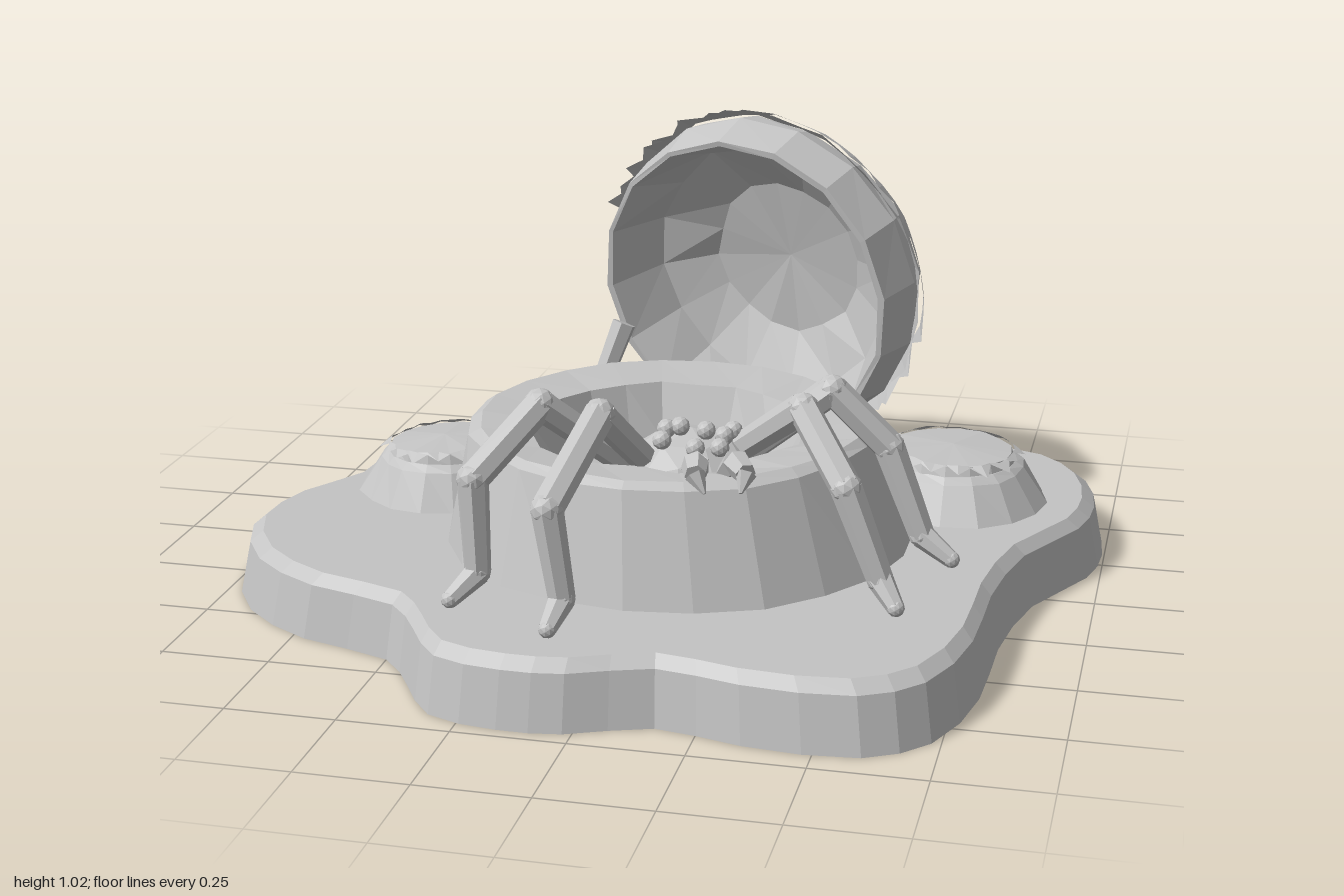
import * as THREE from 'three';

const V = (x, y, z) => new THREE.Vector3(x, y, z);

let seed = 7;
function rand() {
  seed = (seed * 16807) % 2147483647;
  return seed / 2147483647;
}
const jitter = (a) => (rand() * 2 - 1) * a;

// Skin a list of closed rings (arrays of points, equal length) with quads
function loft(rings) {
  const n = rings[0].length;
  const pos = rings.flatMap((r) => r.flatMap((p) => [p.x, p.y, p.z]));
  const index = [];
  for (let j = 0; j < rings.length - 1; j++) {
    for (let i = 0; i < n; i++) {
      const k = (i + 1) % n;
      const a = j * n + i, b = j * n + k, c = (j + 1) * n + k, d = (j + 1) * n + i;
      index.push(a, b, d, b, c, d);
    }
  }
  const g = new THREE.BufferGeometry();
  g.setAttribute('position', new THREE.Float32BufferAttribute(pos, 3));
  g.setIndex(index);
  g.computeVertexNormals();
  return g;
}

// Horizontal ring, with optional centre and roughness
function ring(n, r, y, cx = 0, cz = 0, rough = 0) {
  return Array.from({ length: n }, (_, i) => {
    const a = (i / n) * Math.PI * 2, q = r + (r ? jitter(rough) : 0);
    return V(cx + q * Math.sin(a), y + (r ? jitter(rough * 0.5) : 0), cz + q * Math.cos(a));
  });
}

// Jagged band of leaf tips round an edge
function leafBand(n, r, y, outward, drop) {
  const top = ring(n, r, y, 0, 0, 0.006);
  const tips = top.map((p, i) => {
    const long = i % 2 ? 0.55 + rand() * 0.45 : 0.1 + rand() * 0.25;
    const s = 1 + (outward * long) / r;
    return V(p.x * s, y - drop * long, p.z * s);
  });
  return loft([tips, top]);
}

export function createModel() {
  seed = 7;
  const model = new THREE.Group();
  const clay = new THREE.MeshStandardMaterial({ color: 0xc4c4c4, flatShading: true, side: THREE.DoubleSide });
  clay.name = 'grey clay';

  function add(parent, name, geometry) {
    const m = new THREE.Mesh(geometry, clay);
    m.name = name;
    parent.add(m);
    return m;
  }
  function group(name, parent = model) {
    const g = new THREE.Group();
    g.name = name;
    parent.add(g);
    return g;
  }
  // Tapered rod between two points
  function rod(parent, name, a, b, ra, rb, sides = 7) {
    const m = add(parent, name, new THREE.CylinderGeometry(rb, ra, a.distanceTo(b), sides));
    m.position.copy(a).lerp(b, 0.5);
    m.quaternion.setFromUnitVectors(V(0, 1, 0), b.clone().sub(a).normalize());
    return m;
  }
  function ball(parent, name, p, r, detail = 1) {
    const m = add(parent, name, new THREE.IcosahedronGeometry(r, detail));
    m.position.copy(p);
    return m;
  }

  // Lobed ground slab
  const outline = [
    [-0.02, -0.98], [0.19, -0.91], [0.43, -0.73], [0.68, -0.69], [0.86, -0.64], [0.96, -0.51], [0.995, -0.32],
    [0.97, -0.16], [0.86, 0.05], [0.81, 0.32], [0.8, 0.59], [0.73, 0.83], [0.6, 0.93], [0.35, 0.93],
    [0.16, 0.89], [-0.02, 0.96], [-0.16, 0.97], [-0.32, 0.93], [-0.41, 0.8], [-0.5, 0.68], [-0.72, 0.61],
    [-0.9, 0.48], [-1, 0.27], [-0.97, 0.08], [-0.87, -0.09], [-0.85, -0.32], [-0.72, -0.51], [-0.54, -0.75],
    [-0.42, -0.82], [-0.26, -0.86], [-0.14, -0.96],
  ].reverse().map(([x, z]) => V(x, 0, z));
  const edge = new THREE.CatmullRomCurve3(outline, true).getPoints(62).slice(0, -1);
  const slab = [[0, 0], [1, 0], [0.975, 0.125], [0.945, 0.15], [0, 0.15]];
  add(model, 'groundSlab', loft(slab.map(([s, y]) => edge.map((p) => V(p.x * s, y, p.z * s)))));

  // Burrow mound with a sunken hole
  add(model, 'burrowMound', loft([
    ring(22, 0.55, 0.14, 0.03, 0.1, 0.008),
    ring(22, 0.475, 0.4, 0.01, 0.09, 0.005),
    ring(22, 0.45, 0.415, 0.01, 0.09, 0.004),
    ring(22, 0.32, 0.405, 0.01, 0.12, 0.012),
    ring(22, 0.275, 0.27, 0.01, 0.12, 0.008),
    ring(22, 0.15, 0.23, 0.01, 0.12, 0.006),
    ring(22, 0, 0.22, 0.01, 0.12),
  ]));

  // Trapdoor: hollow dome standing open behind the burrow
  const lid = group('trapdoorLid');
  lid.position.set(0.09, 0.58, -0.6);
  lid.quaternion.setFromUnitVectors(V(0, 1, 0), V(0.29, 0.14, -0.94).normalize());
  const lidProfile = [
    [0, 0.15, 0], [0.2, 0.13, 0.01], [0.33, 0.05, 0.01], [0.385, -0.12, 0.003], [0.4, -0.12, 0.003],
    [0.425, 0, 0.005], [0.4, 0.08, 0.012], [0.32, 0.16, 0.015], [0.19, 0.215, 0.015], [0, 0.24, 0],
  ];
  add(lid, 'lidShell', loft(lidProfile.map(([r, y, k]) => ring(16, r, y, 0, 0, k))));
  add(lid, 'lidLeafFringe', leafBand(54, 0.415, 0.06, 0.05, 0.1));
  add(lid, 'lidLeafFringe', leafBand(40, 0.42, 0.02, 0.04, 0.05));

  // Prop behind the burrow holding the lid
  const prop = group('lidProp');
  rod(prop, 'propFoot', V(-0.37, 0.15, -0.47), V(-0.34, 0.23, -0.5), 0.04, 0.024, 6);
  rod(prop, 'propStick', V(-0.34, 0.23, -0.5), V(-0.27, 0.44, -0.56), 0.024, 0.032, 6);

  // Two small closed burrows
  for (const [x, z, s] of [[-0.59, -0.04, 0.94], [0.63, -0.25, 1.03]]) {
    const small = group('smallBurrow');
    small.position.set(x, 0, z);
    add(small, 'smallMound', loft([
      ring(16, 0.228 * s, 0.14, 0, 0, 0.006),
      ring(16, 0.17 * s, 0.235, 0, 0, 0.005),
      ring(16, 0.15 * s, 0.25, 0, 0, 0.004),
      ring(16, 0, 0.25),
    ]));
    const cap = group('smallLid', small);
    cap.position.y = 0.265;
    cap.rotation.z = x < 0 ? 0.07 : -0.03;
    add(cap, 'capTop', loft([ring(16, 0.15 * s, -0.02), ring(16, 0.14 * s, 0.008, 0, 0, 0.004), ring(16, 0, 0.018)]));
    add(cap, 'capLeafFringe', leafBand(32, 0.14 * s, 0.012, 0.035, 0.02));
  }

  // Spider head
  const spider = group('spider');
  const headPos = V(0.11, 0.36, 0.32);
  const head = ball(spider, 'head', headPos, 1);
  head.scale.set(0.158, 0.11, 0.16);

  // Eight eyes resting on the head
  const eyes = [[0.09, 0.35], [0.06, 0.4], [0.15, 0.355], [0.2, 0.3], [0.19, 0.35], [0.19, 0.395], [0.14, 0.42], [0.06, 0.355]];
  for (const [x, z] of eyes) {
    const dx = (x - headPos.x) / 0.158, dz = (z - headPos.z) / 0.16;
    const y = headPos.y + 0.11 * Math.sqrt(1 - dx * dx - dz * dz) + 0.014;
    ball(spider, 'eye', V(x, y, z), 0.022);
  }

  // Curved fangs
  for (const path of [
    [V(0.15, 0.4, 0.44), V(0.155, 0.445, 0.49), V(0.165, 0.435, 0.53), V(0.19, 0.4, 0.55)],
    [V(0.21, 0.4, 0.42), V(0.24, 0.445, 0.46), V(0.27, 0.435, 0.5), V(0.265, 0.4, 0.53)],
  ]) {
    const fang = group('fang', spider);
    const r = [0.026, 0.031, 0.024, 0.004];
    for (let i = 0; i < 3; i++) rod(fang, 'fangSegment', path[i], path[i + 1], r[i], r[i + 1], 6);
  }

  // Legs: hip, knee, shin, ankle, toe
  const legs = [
    [V(-0.03, 0.4, 0.38), V(-0.19, 0.56, 0.5), V(-0.3, 0.43, 0.65), V(-0.29, 0.22, 0.66), V(-0.335, 0.175, 0.72)],
    [V(0.02, 0.41, 0.39), V(-0.045, 0.56, 0.54), V(-0.1, 0.42, 0.77), V(-0.07, 0.22, 0.77), V(-0.085, 0.175, 0.83)],
    [V(0.2, 0.41, 0.29), V(0.37, 0.55, 0.37), V(0.49, 0.42, 0.5), V(0.57, 0.22, 0.51), V(0.61, 0.175, 0.55)],
    [V(0.22, 0.4, 0.26), V(0.41, 0.55, 0.225), V(0.54, 0.42, 0.21), V(0.62, 0.22, 0.22), V(0.69, 0.175, 0.24)],
  ];
  const radii = [0.032, 0.036, 0.036, 0.03, 0.02];
  for (const nodes of legs) {
    const leg = group('leg', spider);
    for (let i = 0; i < 4; i++) {
      rod(leg, 'legSegment', nodes[i], nodes[i + 1], radii[i], radii[i + 1]);
      ball(leg, 'legJoint', nodes[i + 1], radii[i + 1]);
    }
  }

  return model;
}
